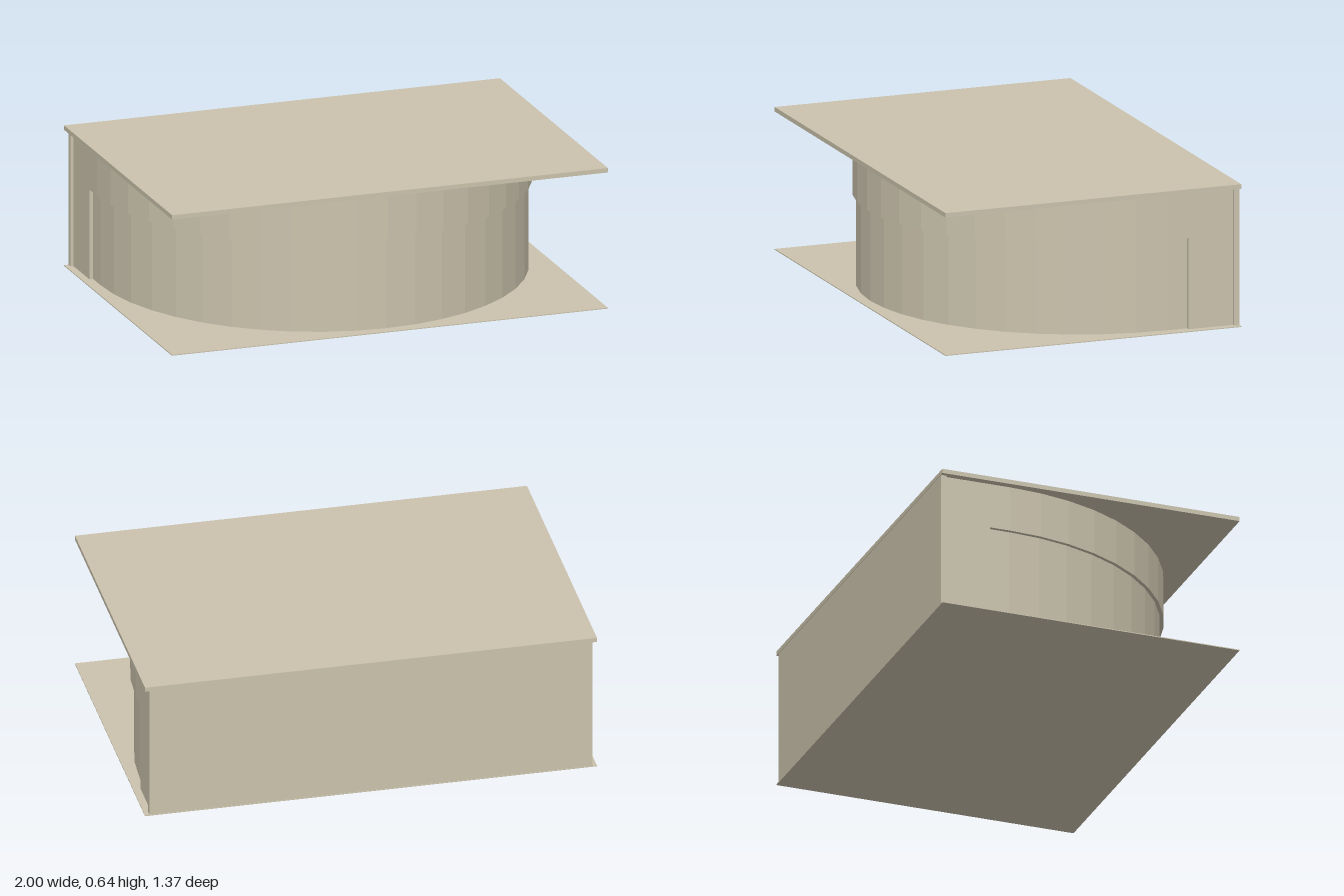
import * as THREE from 'three';

const WALL_BACK = -0.66;   // where the curved wall meets the back panel
const CURVE_START = -0.36; // straight sides end here and the half ellipse begins
const RECESS_BACK = -0.455;

export function createModel() {
  const group = new THREE.Group();
  const stone = new THREE.MeshStandardMaterial({ color: 0xcbc3ad });
  stone.name = 'warm stone';

  const add = (name, geometry) => {
    const mesh = new THREE.Mesh(geometry, stone);
    mesh.name = name;
    group.add(mesh);
  };

  // Box given by half width, height range and depth range
  const box = (name, halfWidth, y0, y1, z0, z1) => {
    const geometry = new THREE.BoxGeometry(halfWidth * 2, y1 - y0, z1 - z0);
    geometry.translate(0, (y0 + y1) / 2, (z0 + z1) / 2);
    add(name, geometry);
  };

  // D-shaped block: straight sides, then a faceted half ellipse to the front
  const bow = (name, halfWidth, front, back, y0, y1) => {
    const segments = 22;
    const points = [new THREE.Vector2(-halfWidth, -back)];
    for (let i = 0; i <= segments; i++) {
      const a = Math.PI * i / segments;
      const z = CURVE_START + (front - CURVE_START) * Math.sin(a);
      points.push(new THREE.Vector2(-halfWidth * Math.cos(a), -z));
    }
    points.push(new THREE.Vector2(halfWidth, -back));
    const geometry = new THREE.ExtrudeGeometry(new THREE.Shape(points), {
      depth: y1 - y0, bevelEnabled: false,
    });
    geometry.rotateX(-Math.PI / 2);
    geometry.translate(0, y0, 0);
    add(name, geometry);
  };

  // Slabs and back panel
  box('floorSlab', 1, 0, 0.004, -0.687, 0.687);
  box('roofSlab', 1, 0.616, 0.636, -0.687, 0.687);
  box('backPanel', 0.98, 0.004, 0.616, -0.685, WALL_BACK);

  // Bowed wall: projecting upper band, recessed lower wall, full-height rear ends
  bow('upperWall', 0.967, 0.655, WALL_BACK, 0.41, 0.616);
  bow('lowerWall', 0.95, 0.639, RECESS_BACK, 0.004, 0.41);
  box('rearWallEnds', 0.967, 0.004, 0.41, WALL_BACK, RECESS_BACK);

  return group;
}
